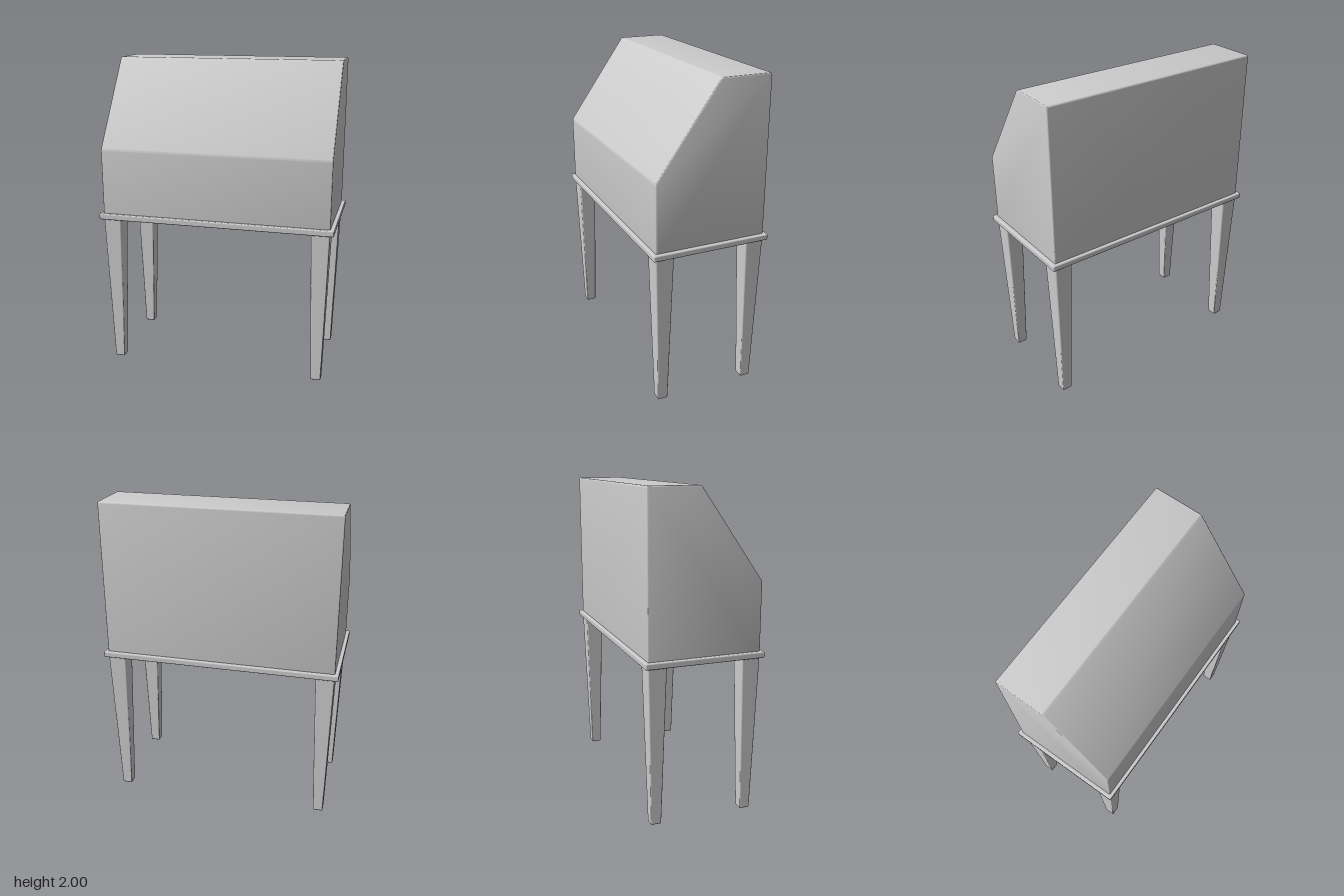
import * as THREE from 'three';
import { toCreasedNormals } from 'three/addons/utils/BufferGeometryUtils.js';
import { RoundedBoxGeometry } from 'three/addons/geometries/RoundedBoxGeometry.js';

const material = new THREE.MeshStandardMaterial({ color: 0xcccccc });

function part(name, geometry, x = 0, y = 0, z = 0) {
  const mesh = new THREE.Mesh(geometry, material);
  mesh.name = name;
  mesh.position.set(x, y, z);
  return mesh;
}

// Closed outline with every corner rounded off by r
function roundedOutline(corners, r) {
  const pts = corners.map(([x, y]) => new THREE.Vector2(x, y));
  const shape = new THREE.Shape();
  pts.forEach((p, i) => {
    const prev = pts[(i + pts.length - 1) % pts.length];
    const next = pts[(i + 1) % pts.length];
    const a = prev.clone().sub(p).setLength(r).add(p);
    const b = next.clone().sub(p).setLength(r).add(p);
    if (i === 0) shape.moveTo(a.x, a.y);
    else shape.lineTo(a.x, a.y);
    shape.quadraticCurveTo(p.x, p.y, b.x, b.y);
  });
  shape.closePath();
  return shape;
}

// Cabinet with a slanted front: side profile (z, y) swept across x
function cabinetGeometry() {
  const bevel = 0.007, width = 1.468;
  const profile = roundedOutline(
    [[0.353, 1.02], [0.353, 1.45], [-0.037, 2], [-0.353, 2], [-0.353, 1.02]], 0.012);
  const geo = new THREE.ExtrudeGeometry(profile, {
    depth: width - 2 * bevel, curveSegments: 4,
    bevelThickness: bevel, bevelSize: bevel, bevelOffset: -bevel, bevelSegments: 3,
  });
  geo.translate(0, 0, bevel - width / 2);
  geo.rotateY(-Math.PI / 2);
  return toCreasedNormals(geo, 0.6);
}

// Square leg, widest at the top
function legGeometry(height, top, bottom) {
  const geo = new RoundedBoxGeometry(top, height, top, 2, 0.01);
  const pos = geo.attributes.position;
  for (let i = 0; i < pos.count; i++) {
    const t = pos.getY(i) / height + 0.5;
    const s = THREE.MathUtils.lerp(bottom / top, 1, t);
    pos.setX(i, pos.getX(i) * s);
    pos.setZ(i, pos.getZ(i) * s);
  }
  return geo;
}

export function createModel() {
  const group = new THREE.Group();
  group.name = 'slantFrontDesk';

  group.add(part('cabinet', cabinetGeometry()));
  group.add(part('baseBoard', new RoundedBoxGeometry(1.516, 0.038, 0.748, 3, 0.008), 0, 1.009, 0));

  // Four tapered legs, tops tucked into the base board
  const leg = legGeometry(1, 0.118, 0.064);
  for (const [side, sx] of [['Left', 1], ['Right', -1]]) {
    for (const [end, sz] of [['front', 1], ['back', -1]]) {
      group.add(part(`${end}${side}Leg`, leg, sx * 0.675, 0.5, sz * 0.295));
    }
  }
  return group;
}
